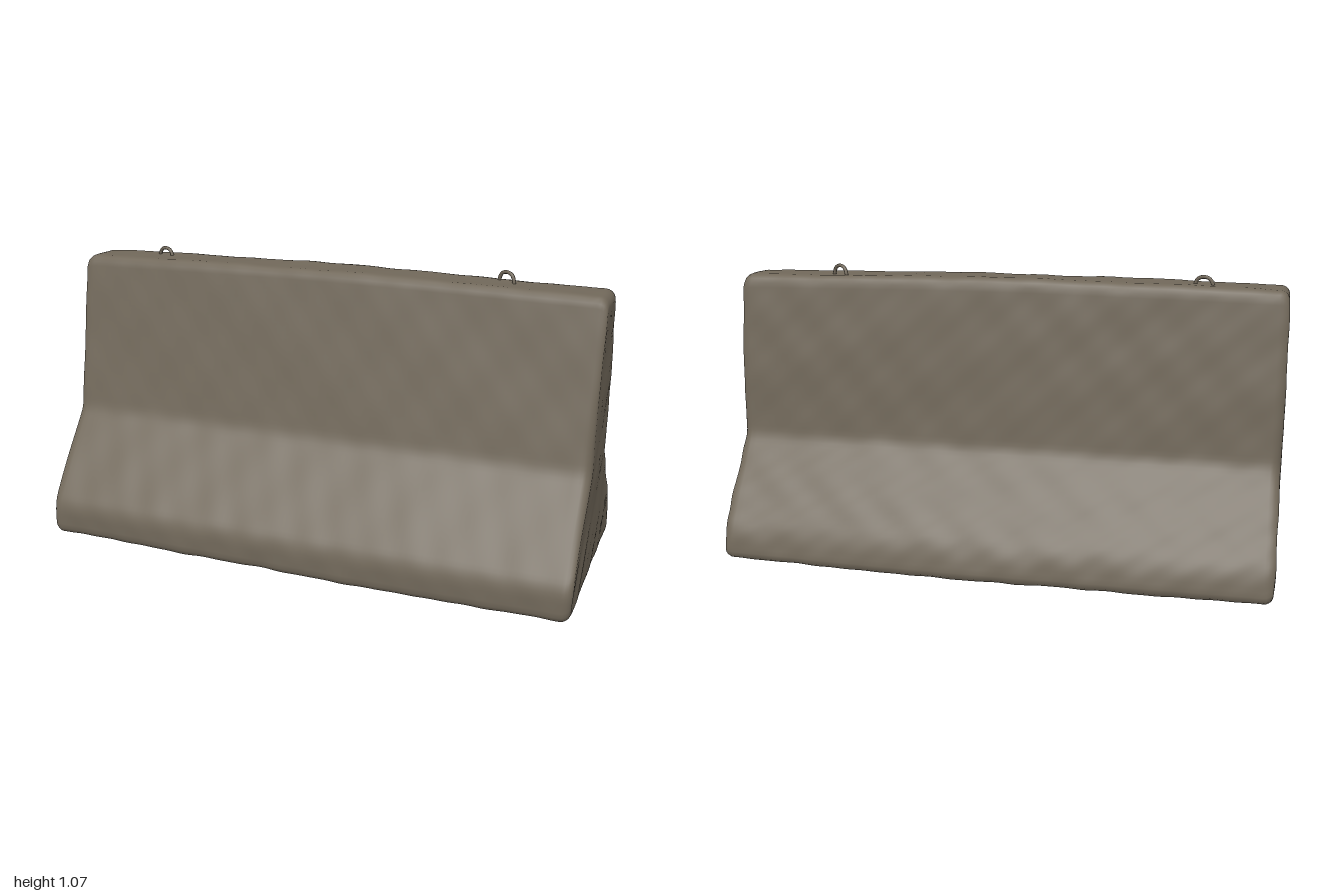
import * as THREE from 'three';

// Cross-section corners: [z, y, rounding]
const PROFILE = [
  [0.405, 0.012, 0.025], [0.405, 0.125, 0.04], [0.18, 0.455, 0.03], [0.06, 1.038, 0.025],
  [-0.117, 1.038, 0.035], [-0.158, 0.72, 0.1], [-0.182, 0.435, 0.025], [-0.388, 0.115, 0.05], [-0.407, 0.012, 0.03],
];
const CENTRE = new THREE.Vector2(0, 0.42);

// Rounded closed outline, evenly sampled
function outline(count) {
  const pts = PROFILE.map(([z, y]) => new THREE.Vector2(z, y));
  const n = pts.length;
  const toward = (a, b, d) => a.clone().add(b.clone().sub(a).setLength(d));
  const shape = new THREE.Shape();
  for (let i = 0; i < n; i++) {
    const p = pts[i], r = PROFILE[i][2];
    const a = toward(p, pts[(i + n - 1) % n], r);
    const b = toward(p, pts[(i + 1) % n], r);
    if (i === 0) shape.moveTo(a.x, a.y);
    else shape.lineTo(a.x, a.y);
    shape.quadraticCurveTo(p.x, p.y, b.x, b.y);
  }
  shape.closePath();
  return shape.getSpacedPoints(count).slice(0, count);
}

// Gentle weathering, as height along the surface normal
function wear(x, y, z) {
  const broad = Math.sin(x * 5.1 + y * 3.7 + 1) * Math.sin(z * 9 + y * 6.3 - x * 2.2);
  const fine = Math.sin(x * 19 + z * 13 + 2) * Math.sin(y * 23 - x * 8 + z * 17);
  const pits = Math.sin(x * 41 + y * 12) * Math.sin(y * 37 + z * 44 + x * 9);
  const low = THREE.MathUtils.smoothstep(0.4 - y, 0, 0.35);
  return broad * 0.002 + fine * 0.0018 + pits * 0.0007 * (1 + low);
}

function barrierGeometry() {
  const COUNT = 180, SPAN = 90, HALF = 0.993, EDGE = 0.035;
  const ring = outline(COUNT);

  // One end from its middle to the rounded edge: [x, shrink, inset]
  const end = [];
  for (let i = 0; i < 12; i++) end.push([HALF, i / 12, EDGE]);
  for (let i = 0; i <= 5; i++) {
    const a = (i / 5) * Math.PI / 2;
    end.push([HALF - EDGE * (1 - Math.cos(a)), 1, EDGE * (1 - Math.sin(a))]);
  }
  const rows = end.map(([x, s, d]) => [-x, s, d]);
  for (let i = 1; i < SPAN; i++) rows.push([(HALF - EDGE) * (2 * i / SPAN - 1), 1, 0]);
  rows.push(...end.slice().reverse());

  const positions = [], index = [];
  rows.forEach(([x, shrink, inset], i) => {
    ring.forEach((p, j) => {
      const v = p.clone().sub(CENTRE);
      v.setLength(v.length() - inset).multiplyScalar(shrink).add(CENTRE);
      positions.push(x, v.y, v.x);
      if (i === rows.length - 1) return;
      const k = (j + 1) % COUNT;
      const a = i * COUNT + j, b = a + COUNT, c = (i + 1) * COUNT + k, d = i * COUNT + k;
      index.push(a, b, c, a, c, d);
    });
  });
  const geo = new THREE.BufferGeometry();
  geo.setAttribute('position', new THREE.Float32BufferAttribute(positions, 3));
  geo.setIndex(index);
  geo.computeVertexNormals();

  // Weather the faces, crown the top and sag the base
  const pos = geo.attributes.position, nor = geo.attributes.normal;
  for (let i = 0; i < pos.count; i++) {
    const x = pos.getX(i), y = pos.getY(i), z = pos.getZ(i);
    const w = wear(x, y, z);
    const crown = 0.007 * Math.cos(x * 2.6) * THREE.MathUtils.smoothstep(y, 0.6, 1.03);
    const sag = 0.004 * Math.cos((x - 0.25) * 3) * THREE.MathUtils.smoothstep(0.2 - y, 0, 0.18);
    pos.setXYZ(i, x + nor.getX(i) * w, Math.max(0, y + nor.getY(i) * w + crown - sag), z + nor.getZ(i) * w);
  }
  geo.computeVertexNormals();
  return geo;
}

export function createModel() {
  const model = new THREE.Group();
  model.name = 'concreteBarrier';
  const concrete = new THREE.MeshStandardMaterial({ color: 0x71685a });
  concrete.name = 'concrete';

  const body = new THREE.Mesh(barrierGeometry(), concrete);
  body.name = 'barrierBody';
  model.add(body);

  // Lifting loops on the top
  const loop = new THREE.CatmullRomCurve3([
    [-0.033, -0.03], [-0.033, 0.008], [-0.022, 0.029], [0, 0.036], [0.022, 0.029], [0.033, 0.008], [0.033, -0.03],
  ].map(([x, y]) => new THREE.Vector3(x, y, 0)));
  const loopGeo = new THREE.TubeGeometry(loop, 28, 0.0065, 8);
  [['rightLiftingLoop', -0.7, 1.027, -0.044, -0.3], ['leftLiftingLoop', 0.627, 1.032, -0.058, -0.5]]
    .forEach(([name, x, y, z, turn]) => {
      const mesh = new THREE.Mesh(loopGeo, concrete);
      mesh.name = name;
      mesh.position.set(x, y, z);
      mesh.rotation.y = turn;
      model.add(mesh);
    });
  return model;
}
